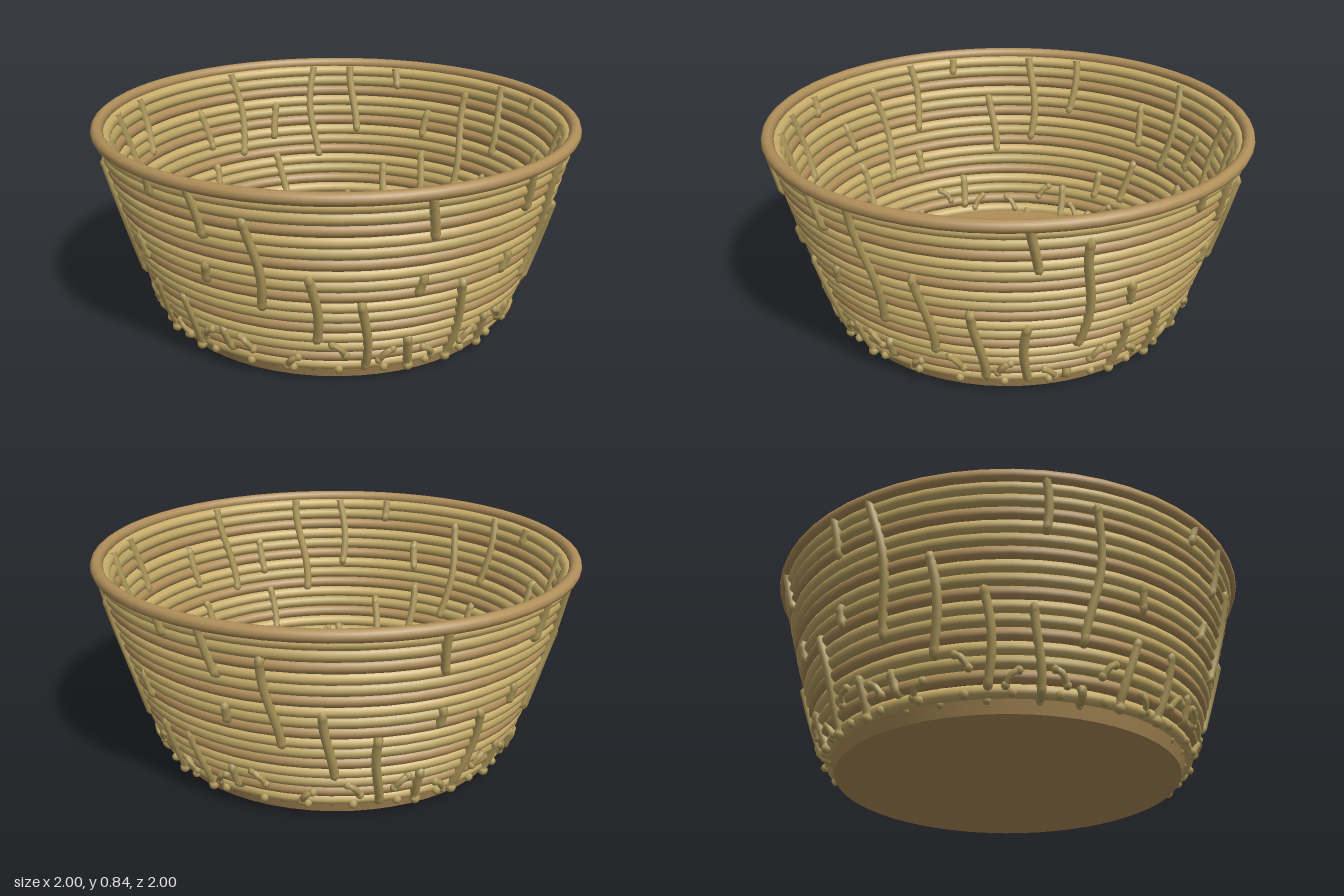
import * as THREE from 'three';

const mat = (name, color) => {
  const m = new THREE.MeshStandardMaterial({ color });
  m.name = name;
  return m;
};

// radius of the basket wall (coil centre line) at a height
const wallRadius = (y) => 0.735 + 0.215 * Math.pow(Math.max(0, (y - 0.075) / 0.71), 0.83);
const onWall = (angle, y, offset) => {
  const r = wallRadius(y) + offset;
  return new THREE.Vector3(Math.sin(angle) * r, y, Math.cos(angle) * r);
};

// heights between which each strand runs outside the wall; the pattern repeats every half turn
const OUTSIDE = [
  [[0.04, 0.42]],
  [[0.04, 0.2], [0.4, 0.48], [0.65, 0.82]],
  [[0.1, 0.19], [0.3, 0.82]],
  [[0.2, 0.57]],
  [[0.08, 0.42]],
  [[0.05, 0.36], [0.62, 0.82]],
  [[0.05, 0.1], [0.23, 0.74]],
  [[0.04, 0.3], [0.4, 0.5]],
  [[0.04, 0.3], [0.74, 0.82]],
  [[0.1, 0.2], [0.42, 0.5], [0.62, 0.82]],
  [[0.33, 0.73]],
  [[0.2, 0.5]],
  [[0.06, 0.38]],
  [[0.04, 0.2], [0.4, 0.48], [0.63, 0.82]],
];

export function createModel() {
  const basket = new THREE.Group();
  basket.name = 'basket';
  const brown = mat('brown reed', 0xb08f5a);
  const straw = mat('straw', 0xc9ae6b);
  const olive = mat('dull straw', 0xbba362);
  const twine = mat('twine', 0xb09a5c);

  const add = (name, geometry, material, parent = basket) => {
    const mesh = new THREE.Mesh(geometry, material);
    mesh.name = name;
    parent.add(mesh);
    return mesh;
  };
  const ring = (name, radius, tube, y, material) => {
    const g = new THREE.TorusGeometry(radius, tube, 10, 56);
    g.rotateX(Math.PI / 2);
    add(name, g, material).position.y = y;
  };

  // solid base disc
  add('base', new THREE.CylinderGeometry(0.735, 0.71, 0.07, 56), brown).position.y = 0.035;

  // stacked coils of the wall
  const tones = [straw, olive, brown];
  for (let i = 0; i < 16; i++) {
    const y = 0.785 - i * 0.0473;
    ring('coil', wallRadius(y), 0.026, y, tones[i % 3]);
  }
  ring('rim', 0.975, 0.025, 0.82, brown);

  // wavy strands weaving through the coils
  const strands = new THREE.Group();
  strands.name = 'strands';
  basket.add(strands);
  const step = (Math.PI * 2) / 28;
  for (let k = 0; k < 28; k++) {
    const spans = OUTSIDE[k % 14];
    const points = [];
    for (let j = 0; j <= 38; j++) {
      const y = 0.05 + j * 0.02;
      const out = spans.some(([a, b]) => y > a && y < b);
      const sway = 0.024 * Math.sin(10 * y + k * 1.7);
      points.push(onWall(k * step + sway, y, out ? 0.022 : -0.022));
    }
    const path = new THREE.CatmullRomCurve3(points);
    add('strand', new THREE.TubeGeometry(path, 90, 0.018, 7), twine, strands);
    add('strandEnd', new THREE.SphereGeometry(0.021, 8, 6), twine, strands).position.copy(points[0]);
  }

  // short twisted knots between the strands near the base
  const knots = new THREE.Group();
  knots.name = 'knots';
  basket.add(knots);
  for (let k = 0; k < 28; k++) {
    const lean = k % 2 ? 0.03 : -0.03;
    const a = (k + 0.5) * step;
    const y = 0.13 + 0.04 * Math.sin(k * 2.3);
    for (const side of [1, -1]) {
      const ends = [onWall(a - lean, y + 0.025, 0.022 * side), onWall(a + lean, y - 0.025, 0.026 * side)];
      const path = new THREE.CatmullRomCurve3([ends[0], onWall(a, y + 0.012, 0.03 * side), ends[1]]);
      add('knot', new THREE.TubeGeometry(path, 6, 0.013, 6), twine, knots);
      for (const p of ends) {
        add('knotEnd', new THREE.SphereGeometry(0.017, 7, 5), twine, knots).position.copy(p);
      }
    }
    add('footKnot', new THREE.SphereGeometry(0.018, 7, 5), twine, knots).position.copy(onWall(a, 0.06, 0.022));
  }
  return basket;
}
